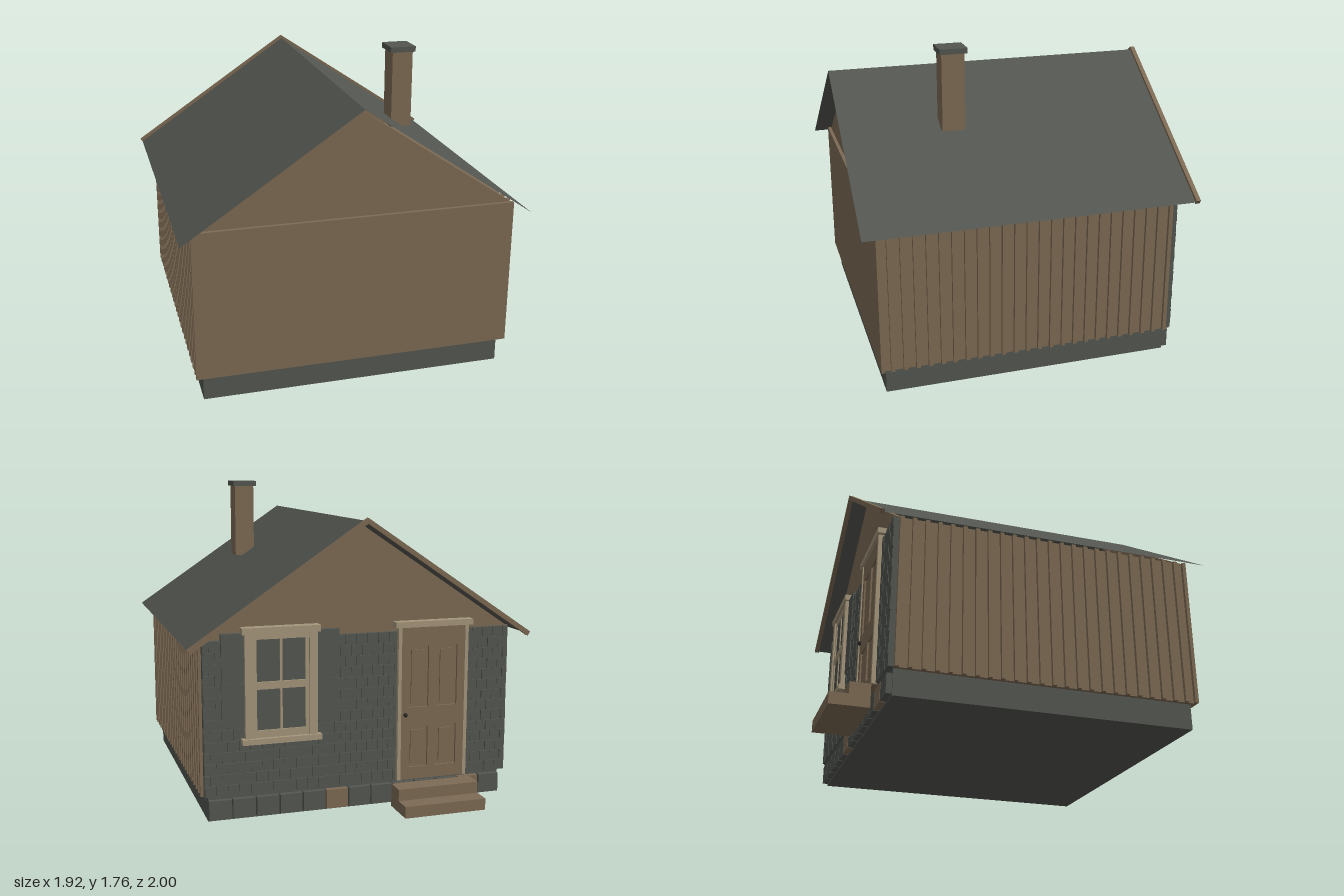
import * as THREE from 'three';
import { mergeGeometries } from 'three/addons/utils/BufferGeometryUtils.js';

const material = (name, color, side = THREE.FrontSide) => {
  const m = new THREE.MeshStandardMaterial({ color, side });
  m.name = name;
  return m;
};

// Box geometry given by its minimum and maximum on each axis
const block = (x0, x1, y0, y1, z0, z1) =>
  new THREE.BoxGeometry(x1 - x0, y1 - y0, z1 - z0)
    .translate((x0 + x1) / 2, (y0 + y1) / 2, (z0 + z1) / 2);

const polygon = (pts) => new THREE.Shape(pts.map(([x, y]) => new THREE.Vector2(x, y)));
const rectangle = (x0, x1, y0, y1) => polygon([[x0, y0], [x1, y0], [x1, y1], [x0, y1]]);
const slab = (shape, z0, z1) =>
  new THREE.ExtrudeGeometry(shape, { depth: z1 - z0, bevelEnabled: false }).translate(0, 0, z0);

export function createModel() {
  const brown = material('brown timber', 0x7d6a54);
  const grey = material('slate grey', 0x535650);
  const roofing = material('roof grey', 0x535650, THREE.DoubleSide);
  const cream = material('cream trim', 0xa5967b);
  const dark = material('dark metal', 0x2b2a28);

  const model = new THREE.Group();
  model.name = 'cabin';
  const add = (name, mat, ...geos) => {
    const mesh = new THREE.Mesh(geos.length > 1 ? mergeGeometries(geos) : geos[0], mat);
    mesh.name = name;
    model.add(mesh);
  };

  // Foundation and main walls
  add('foundation', grey, block(-0.845, 0.845, 0, 0.14, -0.73, 0.89));
  add('walls', brown, block(-0.866, 0.866, 0.14, 0.975, -0.73, 0.9));
  add('frontWall', brown, block(-0.885, 0.885, 0.14, 0.975, 0.9, 0.92));

  // Vertical battens along both sides
  const battens = [];
  for (const s of [-1, 1]) {
    for (let i = 0; i < 24; i++) {
      const z = 0.855 - i * 0.0685;
      battens.push(block(s * 0.875 - 0.01, s * 0.875 + 0.01, 0.14, 0.975, z - 0.011, z + 0.011));
    }
  }
  add('sideBattens', brown, ...battens);

  // Gables, front and back
  const gable = polygon([[-0.87, 0.975], [0.87, 0.975], [0, 1.56]]);
  add('frontGable', brown, slab(gable, 0.87, 0.9));
  add('backGable', brown, slab(gable, -0.74, -0.71));

  // Thin roof slopes
  const run = 0.95, rise = 0.64;
  for (const s of [-1, 1]) {
    const slope = new THREE.PlaneGeometry(Math.hypot(run, rise), 1.83)
      .rotateX(-Math.PI / 2)
      .rotateZ(-s * Math.atan2(rise, run))
      .translate(s * run / 2, 0.94 + rise / 2, 0.085);
    add(s > 0 ? 'leftRoofSlope' : 'rightRoofSlope', roofing, slope);
  }

  // Barge boards on the back edge of the roof
  add('bargeBoards', brown, slab(polygon([
    [0, 1.597], [-0.96, 0.952], [-0.945, 0.93], [0, 1.567], [0.945, 0.93], [0.96, 0.952],
  ]), -0.855, -0.83));

  // Chimney
  add('chimney', brown, block(0.328, 0.444, 1.31, 1.735, 0.328, 0.456));
  add('chimneyCap', grey, block(0.314, 0.456, 1.735, 1.765, 0.314, 0.468));

  // Back wall covered with staggered shingles
  const shingles = [block(-0.868, 0.868, 0.14, 0.975, -0.757, -0.73)];
  const rows = 14, rowHeight = 0.835 / rows, pitch = 0.062;
  for (let r = 0; r < rows; r++) {
    const y = 0.14 + r * rowHeight;
    for (let i = -1; i < 28; i++) {
      const start = -0.868 + (i + (r % 2) / 2) * pitch;
      const x0 = Math.max(start, -0.868), x1 = Math.min(start + pitch - 0.003, 0.868);
      if (x1 - x0 < 0.01) continue;
      const front = i % 2 ? -0.765 : -0.762;
      shingles.push(block(x0, x1, y + 0.003, y + rowHeight, front, -0.757));
    }
  }
  add('shingledBackWall', grey, ...shingles);

  // Stone blocks along the back footing, a few of them brown
  const stones = { grey: [], brown: [] };
  for (let i = 0; i < 13; i++) {
    const x1 = 0.845 - i * 0.13;
    const list = [5, 11].includes(i) ? stones.brown : stones.grey;
    list.push(block(x1 - 0.122, x1, 0.012, 0.118, -0.76, -0.73));
  }
  add('greyFootingStones', grey, ...stones.grey);
  add('brownFootingStones', brown, ...stones.brown);

  // Window: backing boards, glass, casing, sash bars and sill
  add('windowBackingBoards', grey,
    block(0.13, 0.77, 0.52, 0.745, -0.77, -0.735),
    block(0.13, 0.77, 0.75, 1.01, -0.77, -0.735));
  add('windowGlass', grey, block(0.29, 0.615, 0.45, 1.01, -0.773, -0.735));
  add('windowCasing', cream,
    block(0.255, 0.3, 0.45, 1.01, -0.79, -0.735),
    block(0.605, 0.65, 0.45, 1.01, -0.79, -0.735),
    block(0.24, 0.665, 1.005, 1.04, -0.797, -0.735),
    block(0.235, 0.67, 0.42, 0.45, -0.805, -0.735));
  add('windowSashes', cream,
    block(0.3, 0.605, 0.975, 1.005, -0.781, -0.765),
    block(0.3, 0.605, 0.71, 0.75, -0.783, -0.765),
    block(0.3, 0.605, 0.45, 0.49, -0.781, -0.765),
    block(0.3, 0.32, 0.45, 1.005, -0.78, -0.765),
    block(0.585, 0.605, 0.45, 1.005, -0.78, -0.765),
    block(0.446, 0.459, 0.45, 1.005, -0.779, -0.765));

  // Door: stiles and rails around four raised panels
  const frame = rectangle(-0.6, -0.222, 0.14, 1.0);
  const panels = [];
  for (const [x0, x1] of [[-0.555, -0.435], [-0.385, -0.265]]) {
    for (const [y0, y1] of [[0.21, 0.44], [0.55, 0.89]]) {
      frame.holes.push(rectangle(x0, x1, y0, y1));
      panels.push(block(x0 + 0.02, x1 - 0.02, y0 + 0.02, y1 - 0.02, -0.775, -0.766));
    }
  }
  add('doorFrame', brown, slab(frame, -0.78, -0.766));
  add('doorPanels', brown, block(-0.6, -0.222, 0.14, 1.0, -0.767, -0.735), ...panels);
  add('doorCasing', cream,
    block(-0.618, -0.598, 0.14, 1.0, -0.786, -0.735),
    block(-0.224, -0.204, 0.14, 1.0, -0.786, -0.735),
    block(-0.64, -0.185, 0.998, 1.03, -0.795, -0.735));
  add('doorKnob', dark, new THREE.SphereGeometry(0.012, 12, 8).translate(-0.25, 0.51, -0.786));

  // Door steps
  add('doorSteps', brown,
    block(-0.64, -0.17, 0, 0.128, -0.9, -0.79),
    block(-0.64, -0.17, 0, 0.064, -1, -0.9));

  return model;
}
